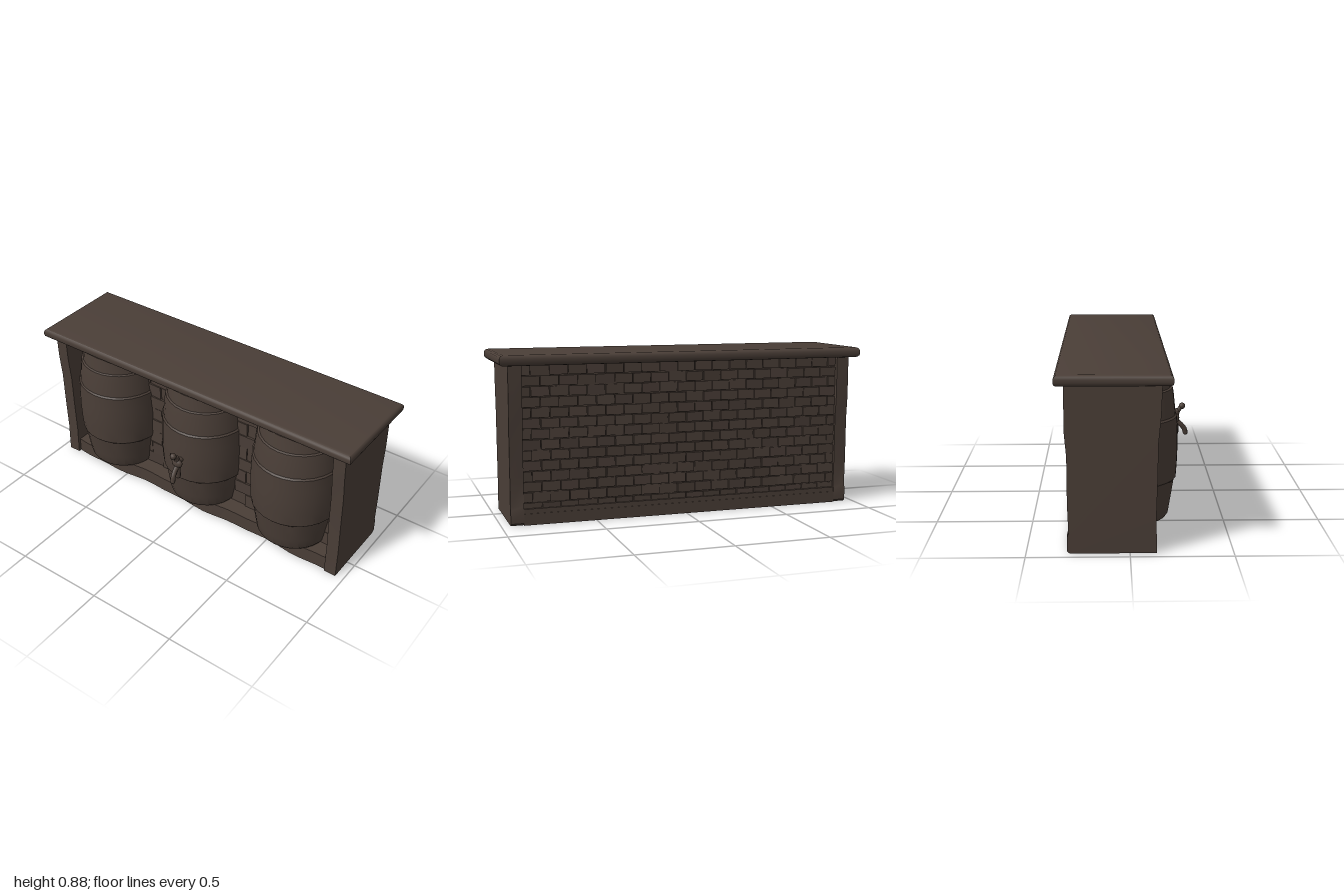
import * as THREE from 'three';
import { mergeGeometries, toCreasedNormals } from 'three/addons/utils/BufferGeometryUtils.js';

export function createModel() {
  const group = new THREE.Group();
  const wood = new THREE.MeshStandardMaterial({ color: 0x4a3e37 });
  wood.name = 'dark brown wood';

  let seed = 7;
  const rand = () => (seed = (seed * 16807) % 2147483647) / 2147483647;

  function add(name, geometry, parent = group) {
    const mesh = new THREE.Mesh(geometry, wood);
    mesh.name = name;
    parent.add(mesh);
    return mesh;
  }
  const box = (w, h, d, x, y, z) => new THREE.BoxGeometry(w, h, d).translate(x, y, z);
  const vecs = (pts) => pts.map((p) => new THREE.Vector3(...p));

  // Counter top: rectangle with mitred, rounded edges
  const slab = new THREE.Shape([[-0.978, -0.178], [0.978, -0.178], [0.978, 0.333], [-0.978, 0.333]]
    .map(([x, y]) => new THREE.Vector2(x, y)));
  const slabGeometry = new THREE.ExtrudeGeometry(slab, {
    depth: 0.015, bevelThickness: 0.02, bevelSize: 0.022, bevelSegments: 3,
  });
  slabGeometry.rotateX(-Math.PI / 2).translate(0, 0.845, 0);
  add('counterTop', toCreasedNormals(slabGeometry, 0.7));

  // Side boards with worn, wavy front and back edges (z, y)
  const outline = [
    [0.13, 0], [0.125, 0.17], [0.13, 0.35], [0.133, 0.55], [0.145, 0.68], [0.15, 0.83],
    [-0.31, 0.83], [-0.31, 0.6], [-0.3, 0.48], [-0.3, 0.25], [-0.295, 0.1],
    [-0.303, 0.08], [-0.303, 0.012], [-0.29, 0],
  ].map(([z, y]) => new THREE.Vector2(-z, y));
  for (const side of [-1, 1]) {
    const g = new THREE.ExtrudeGeometry(new THREE.Shape(outline), { depth: 0.07, bevelEnabled: false });
    g.rotateY(Math.PI / 2).translate(side * 0.918 - 0.035, 0, 0);
    add(side > 0 ? 'leftSideBoard' : 'rightSideBoard', toCreasedNormals(g, 0.6));
  }

  // Plinth with an uneven front edge
  const plinth = new THREE.BoxGeometry(1.77, 0.085, 0.42, 24, 1, 1).translate(0, 0.0425, -0.09);
  const pos = plinth.attributes.position;
  for (let i = 0; i < pos.count; i++) {
    const x = pos.getX(i);
    if (pos.getZ(i) > 0) pos.setZ(i, 0.115 + 0.008 * Math.sin(x * 9 + 1) + 0.004 * Math.sin(x * 21));
  }
  add('plinth', toCreasedNormals(plinth, 0.6));

  // Core between the boards, with a rail along the back foot
  add('wallCore', box(1.77, 0.75, 0.292, 0, 0.455, -0.132));
  add('backRail', box(1.77, 0.06, 0.02, 0, 0.03, -0.293));

  // Staggered bricks: small blocks with slightly tilted faces
  function bricks(name, z, facing, y0, rows, cols, relief) {
    const parts = [];
    const width = 1.77 / cols, height = (0.826 - y0) / rows;
    for (let r = 0; r < rows; r++) {
      for (let c = 0; c <= cols; c++) {
        const shift = r % 2 ? 0.5 : 0;
        const left = Math.max(-0.885, -0.885 + (c - shift) * width);
        const right = Math.min(0.885, -0.885 + (c + 1 - shift) * width);
        if (right - left < 0.02) continue;
        const depth = relief * (0.6 + 0.8 * rand());
        const g = box(right - left - 0.004, height - 0.004, depth, 0, 0, 0);
        g.rotateX((rand() - 0.5) * 0.12).rotateY((rand() - 0.5) * 0.08);
        g.translate((left + right) / 2, y0 + (r + 0.5) * height, z + facing * depth / 2);
        parts.push(g);
      }
    }
    add(name, mergeGeometries(parts));
  }
  bricks('backBricks', -0.278, -1, 0.06, 14, 18, 0.01);
  bricks('frontBricks', 0.014, 1, 0.085, 9, 12, 0.01);

  // Barrels with stepped hoops (radius, y)
  const profile = [
    [0, 0.085], [0.195, 0.085], [0.205, 0.1], [0.215, 0.16], [0.234, 0.28], [0.243, 0.29],
    [0.248, 0.37], [0.25, 0.45], [0.248, 0.53], [0.246, 0.603], [0.238, 0.612],
    [0.227, 0.72], [0.222, 0.745], [0.212, 0.75], [0.2, 0.83], [0, 0.83],
  ].map(([r, y]) => new THREE.Vector2(r, y));
  [-0.61, 0, 0.6].forEach((x, i) => {
    const g = toCreasedNormals(new THREE.LatheGeometry(profile, 28), 0.45);
    add(['rightBarrel', 'middleBarrel', 'leftBarrel'][i], g.translate(x, 0, -0.004));
  });

  // Tap on the middle barrel
  const tap = new THREE.Group();
  tap.name = 'tap';
  group.add(tap);
  const tube = (name, pts, r) => {
    const curve = new THREE.CatmullRomCurve3(vecs(pts));
    add(name, new THREE.TubeGeometry(curve, 14, r, 8), tap);
    // Rounded ends
    [pts[0], pts[pts.length - 1]].forEach((p) =>
      add(name + 'End', new THREE.SphereGeometry(r, 8, 6).translate(...p), tap));
  };
  tube('tapStem', [[0.01, 0.435, 0.235], [0.01, 0.435, 0.28]], 0.015);
  tube('tapBody', [[0.01, 0.47, 0.285], [0.01, 0.43, 0.28], [0.015, 0.38, 0.281], [0.015, 0.342, 0.28]], 0.015);
  tube('tapHandle', [[0.01, 0.45, 0.285], [0.01, 0.475, 0.295], [0.01, 0.5, 0.315]], 0.012);
  add('tapKnob', new THREE.SphereGeometry(0.018, 12, 8).translate(0.01, 0.498, 0.314), tap);
  add('tapJoint', new THREE.SphereGeometry(0.028, 12, 8).scale(1.2, 1, 0.7).translate(0.01, 0.43, 0.28), tap);
  tube('tapSpout', [[0.012, 0.41, 0.285], [0.014, 0.39, 0.308], [0.018, 0.365, 0.328], [0.02, 0.341, 0.335]], 0.014);
  tube('tapLever', [[0, 0.43, 0.28], [-0.03, 0.437, 0.27], [-0.052, 0.437, 0.25]], 0.01);

  return group;
}
